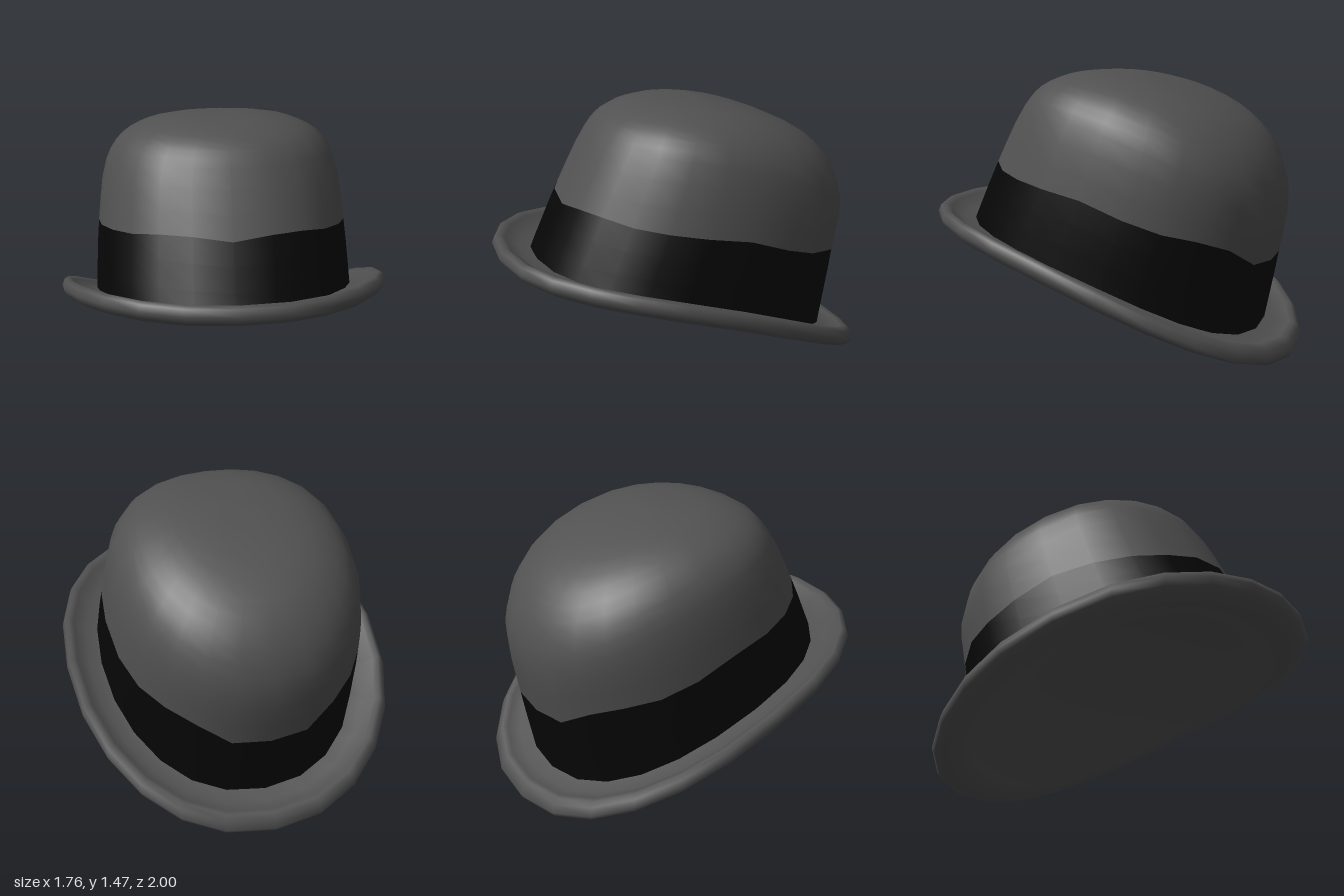
import * as THREE from 'three';

const SEG = 24; // steps around the hat
const STEPS = 3; // rows between two crown sections

// Smooth loft through closed rings; poleRow is the ring that shrinks to a point
function loft(rings, poleRow) {
  const pos = [], index = [];
  rings.forEach((ring) => ring.forEach((p) => pos.push(p.x, p.y, p.z)));
  for (let i = 0; i < rings.length - 1; i++) {
    for (let j = 0; j < SEG; j++) {
      const k = (j + 1) % SEG;
      const a = i * SEG + j, b = i * SEG + k, c = a + SEG, d = b + SEG;
      index.push(a, b, c, b, d, c);
    }
  }
  const geo = new THREE.BufferGeometry();
  geo.setAttribute('position', new THREE.Float32BufferAttribute(pos, 3));
  geo.setIndex(index);
  geo.computeVertexNormals();
  // One shared normal at the pole
  const n = geo.attributes.normal, sum = new THREE.Vector3(), v = new THREE.Vector3();
  for (let j = 0; j < SEG; j++) sum.add(v.fromBufferAttribute(n, poleRow * SEG + j));
  sum.normalize();
  for (let j = 0; j < SEG; j++) n.setXYZ(poleRow * SEG + j, sum.x, sum.y, sum.z);
  return geo;
}

// Part of a lofted geometry between two rows, keeping the shared normals
function rows(geo, from, to) {
  const part = geo.clone();
  part.setIndex(Array.from(geo.index.array.slice(from * SEG * 6, to * SEG * 6)));
  return part;
}

// Walk round a slightly squared oval: fn(side, front, step), both in -1..1
const full = (v) => Math.sign(v) * Math.pow(Math.abs(v), 2 / 2.2);
const around = (fn) => Array.from({ length: SEG }, (_, j) => {
  const t = (j / SEG) * Math.PI * 2;
  return fn(full(Math.sin(t)), full(Math.cos(t)), j);
});

export function createModel() {
  const hat = new THREE.Group();
  hat.name = 'bowlerHat';
  const felt = new THREE.MeshStandardMaterial({ color: 0x515151 });
  felt.name = 'greyFelt';
  const ribbon = new THREE.MeshStandardMaterial({ color: 0x060606 });
  ribbon.name = 'blackRibbon';

  const add = (name, geo, mat) => {
    const mesh = new THREE.Mesh(geo, mat);
    mesh.name = name;
    hat.add(mesh);
  };

  // Crown sections: front z, back z, half width, front y, side y, back y
  const sections = [
    [0.82, -0.80, 0.69, 0.62, 0.50, 0.12],
    [0.65, -0.875, 0.67, 0.955, 0.85, 0.50],
    [0.485, -0.925, 0.62, 1.28, 1.17, 0.82],
    [0.40, -0.87, 0.53, 1.38, 1.31, 1.04],
    [0.27, -0.72, 0.38, 1.44, 1.395, 1.225],
    [0.12, -0.40, 0.19, 1.463, 1.445, 1.385],
    [-0.13, -0.13, 0, 1.457, 1.457, 1.457],
  ];
  // Uneven upper edge of the band, front to back
  const bandTop = [0.955, 0.98, 0.975, 0.945, 0.92, 0.89, 0.85, 0.765, 0.70, 0.66, 0.605, 0.51, 0.50];

  const ribs = around((s, c, j) => {
    const points = sections.map(([f, b, w, yf, ym, yb], i) => {
      const y = i === 1
        ? bandTop[Math.min(j, SEG - j)]
        : ym + ((yf - yb) / 2) * c + ((yf + yb) / 2 - ym) * c * c;
      return new THREE.Vector3(w * s, y, (f + b) / 2 + ((f - b) / 2) * c);
    });
    return new THREE.CatmullRomCurve3(points).getPoints((sections.length - 1) * STEPS);
  });
  const last = (sections.length - 1) * STEPS;
  const crownRings = Array.from({ length: last + 1 }, (_, i) => ribs.map((rib) => rib[i]));
  const shell = loft(crownRings, last);
  add('band', rows(shell, 0, STEPS), ribbon);
  add('crown', rows(shell, STEPS, last), felt);

  // Hollow and brim: from the peak of the hollow down to the underside,
  // out round the rolled rim and back to the crown (radius, height)
  const profile = [
    [0, 0.49], [0.8, -0.085], [0.89, -0.08], [0.95, -0.06], [0.985, -0.035],
    [1, 0], [0.985, 0.035], [0.96, 0.048], [0.93, 0.03], [0.86, -0.02], [0.72, -0.02],
  ];
  const brimRings = profile.map(([r, dy]) => around((s, c) => {
    const z = r * c;
    return new THREE.Vector3(0.88 * r * s, 0.515 + 0.34 * z - 0.15 * z * z + dy, z);
  }));
  const brim = loft(brimRings, 0);
  add('hollow', rows(brim, 0, 1), felt);
  add('brim', rows(brim, 1, profile.length - 1), felt);

  return hat;
}
